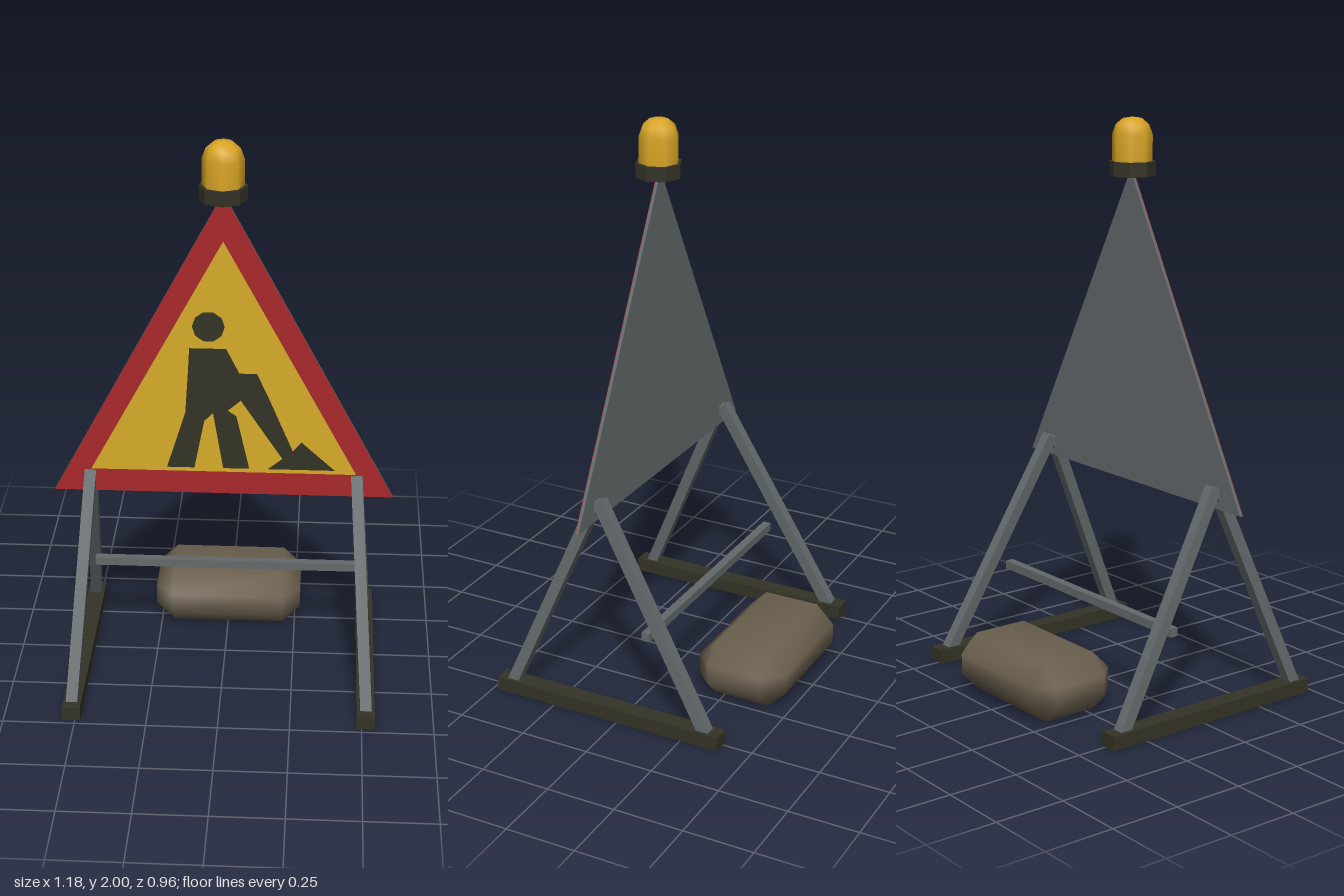
import * as THREE from 'three';
import { mergeVertices } from 'three/addons/utils/BufferGeometryUtils.js';
import { ConvexGeometry } from 'three/addons/geometries/ConvexGeometry.js';

const material = (name, color) => {
  const m = new THREE.MeshStandardMaterial({ color });
  m.name = name;
  return m;
};

export function createModel() {
  const group = new THREE.Group();
  const red = material('red', 0xa8282b);
  const yellow = material('yellow', 0xd6aa28);
  const amber = material('amber', 0xd8a424);
  const steel = material('steel', 0x63696b);
  const dark = material('dark', 0x333326);
  const canvas = material('canvas', 0x6b604e);

  const add = (name, geometry, mat, x = 0, y = 0, z = 0) => {
    const mesh = new THREE.Mesh(geometry, mat);
    mesh.name = name;
    mesh.position.set(x, y, z);
    group.add(mesh);
    return mesh;
  };

  // Flat plate from an outline in x and y, starting at depth z
  const plate = (name, points, mat, z, depth) => {
    const shape = new THREE.Shape(points.map(([x, y]) => new THREE.Vector2(x, y)));
    return add(name, new THREE.ExtrudeGeometry(shape, { depth, bevelEnabled: false }), mat, 0, 0, z);
  };

  // Square bar between two points
  const bar = (name, from, to, size, mat) => {
    const a = new THREE.Vector3(...from), b = new THREE.Vector3(...to);
    const dir = b.clone().sub(a);
    const mesh = add(name, new THREE.BoxGeometry(size, dir.length(), size), mat);
    mesh.position.copy(a).add(b).multiplyScalar(0.5);
    mesh.quaternion.setFromUnitVectors(new THREE.Vector3(0, 1, 0), dir.normalize());
  };

  // Triangular sign: steel back, red border, yellow field
  const outer = [[-0.59, 0.72], [0.59, 0.72], [0, 1.82]];
  plate('signBack', outer, steel, 0.106, 0.011);
  plate('signBorder', outer, red, 0.117, 0.002);
  plate('signField', [[-0.46, 0.805], [0.46, 0.805], [0, 1.655]], yellow, 0.119, 0.002);

  // Digging figure
  plate('workerBody', [
    [-0.115, 1.27], [0.01, 1.27], [0.055, 1.18], [0.115, 1.18], [0.16, 1.08],
    [0.24, 0.89], [0.27, 0.925], [0.385, 0.82], [0.155, 0.82], [0.205, 0.86],
    [0.06, 1.08], [0.015, 1.04], [0.045, 1.02], [0.09, 0.82], [0, 0.82],
    [-0.035, 1.03], [-0.065, 1.0], [-0.1, 0.82], [-0.195, 0.82], [-0.13, 1.03], [-0.12, 1.18],
  ], dark, 0.121, 0.002);
  const head = [];
  for (let i = 0; i < 10; i++) {
    const a = i / 10 * Math.PI * 2;
    head.push([-0.05 + Math.cos(a) * 0.055, 1.35 + Math.sin(a) * 0.055]);
  }
  plate('workerHead', head, dark, 0.121, 0.002);

  // A-frame legs and feet on both sides
  for (const [side, s] of [['left', 1], ['right', -1]]) {
    bar(side + 'FrontLeg', [s * 0.515, 0.04, 0.427], [s * 0.463, 0.795, 0.107], 0.04, steel);
    bar(side + 'BackLeg', [s * 0.513, 0.04, -0.332], [s * 0.463, 0.795, 0.097], 0.04, steel);
    add(side + 'Foot', new THREE.BoxGeometry(0.064, 0.05, 0.87), dark, s * 0.513, 0.025, 0.045);
  }
  add('crossbar', new THREE.BoxGeometry(0.96, 0.03, 0.03), steel, 0, 0.325, -0.083);

  // Warning lamp: faceted collar and smooth dome
  const collar = new THREE.CylinderGeometry(0.081, 0.081, 0.05, 8).toNonIndexed();
  collar.computeVertexNormals();
  add('lampBase', collar, dark, 0, 1.825, 0.114);
  const dome = [[0.07, 1.85], [0.07, 1.94], [0.057, 1.975], [0.033, 1.995], [0, 2]];
  add('lampDome', new THREE.LatheGeometry(dome.map(p => new THREE.Vector2(...p)), 8), amber, 0, 0, 0.114);

  // Sandbag: box with cut edges and smooth shading
  const h = [0.27, 0.103, 0.167], cut = 0.066, points = [];
  for (const x of [-1, 1]) for (const y of [-1, 1]) for (const z of [-1, 1])
    for (let k = 0; k < 3; k++) {
      const c = h.map((v, i) => (i === k ? v : v - cut));
      points.push(new THREE.Vector3(x * c[0], y * c[1], z * c[2]));
    }
  let bag = new ConvexGeometry(points);
  bag.deleteAttribute('normal');
  bag = mergeVertices(bag);
  bag.computeVertexNormals();
  add('sandbag', bag, canvas, 0, 0.103, -0.317);

  return group;
}
